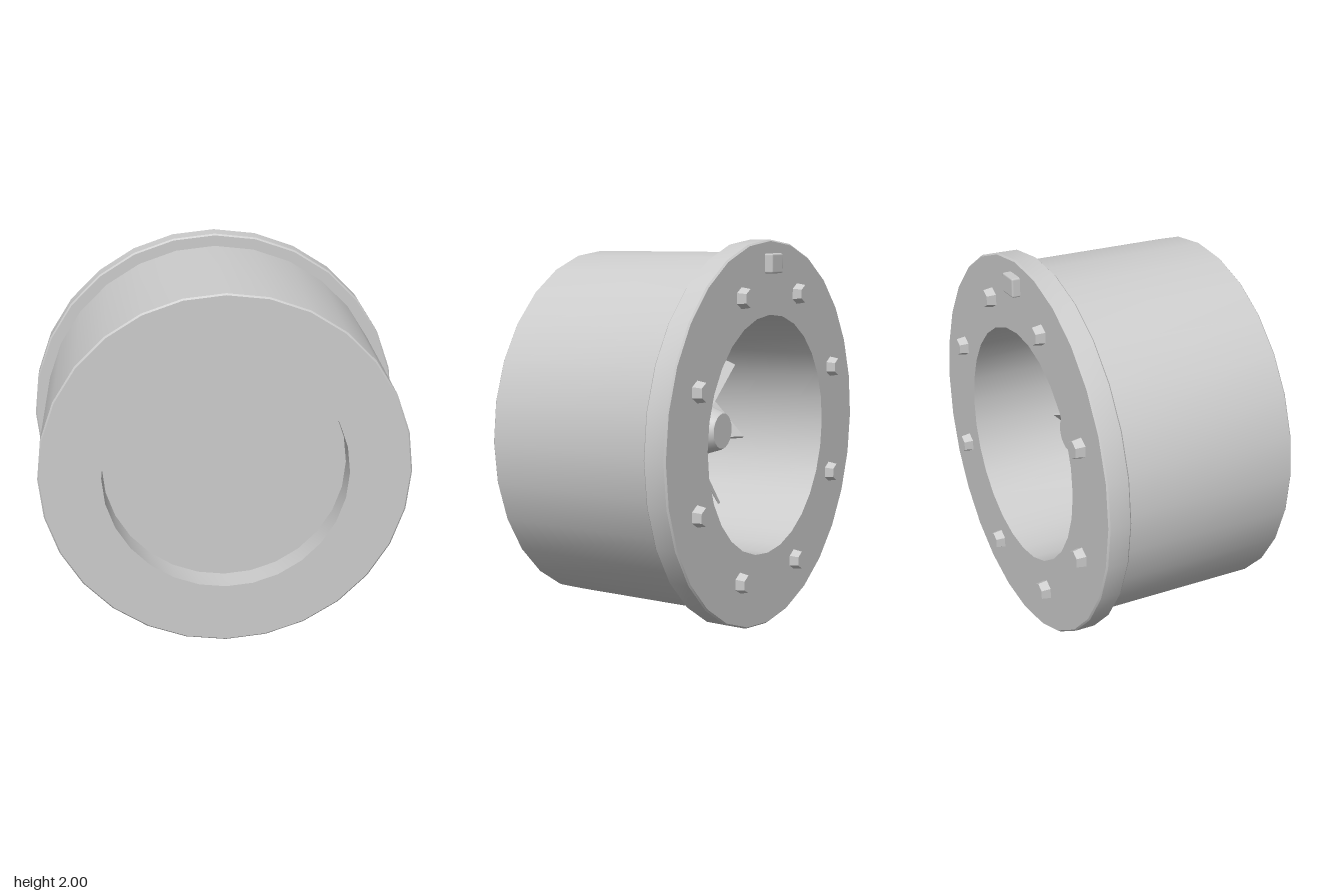
import * as THREE from 'three';
import { toCreasedNormals } from 'three/addons/utils/BufferGeometryUtils.js';
import { RoundedBoxGeometry } from 'three/addons/geometries/RoundedBoxGeometry.js';

const BLADES = 7, BOLTS = 8;

export function createModel() {
  const model = new THREE.Group();
  model.name = 'thruster';
  const axis = new THREE.Group(); // everything is built around the z axis
  axis.name = 'thrusterUnit';
  axis.position.y = 1;
  model.add(axis);

  const material = new THREE.MeshStandardMaterial({ color: 0xcccccc });
  const add = (name, geometry, parent = axis) => {
    const mesh = new THREE.Mesh(geometry, material);
    mesh.name = name;
    parent.add(mesh);
    return mesh;
  };
  // revolve [radius, z] pairs around z
  const revolve = (profile, sides) => {
    const points = profile.map(([r, z]) => new THREE.Vector2(r, z));
    return toCreasedNormals(new THREE.LatheGeometry(points, sides).rotateX(Math.PI / 2), 0.6);
  };

  // housing: rear bore, mounting flange, drum, shallow front recess
  const b = 0.008;
  add('housing', revolve([
    [0, 0.365], [0.62, 0.365], [0.62, -0.505],
    [1 - b, -0.505], [1, -0.505 + b], [1, -0.385 - b], [1 - b, -0.385],
    [0.935, -0.385], [0.935, 0.55 - b], [0.935 - b, 0.55],
    [0.62, 0.55], [0.62, 0.41], [0, 0.41],
  ], 28));

  // tapered hub inside the bore
  add('hub', revolve([[0, -0.23], [0.094, -0.23], [0.1, -0.222], [0.295, 0.366]], 20));

  // pitched blades, wider at the tip
  const length = 0.37, root = 0.11;
  const blade = new THREE.BoxGeometry(0.3, length, 0.02);
  const p = blade.attributes.position;
  for (let i = 0; i < p.count; i++) {
    if (p.getY(i) < 0) p.setX(i, p.getX(i) * 0.68);
    else p.setZ(i, p.getZ(i) * 0.7);
  }
  blade.computeVertexNormals();
  blade.rotateY(-Math.PI / 4).translate(0, root + length / 2, 0.022);
  const rotor = new THREE.Group();
  rotor.name = 'rotor';
  axis.add(rotor);
  for (let i = 0; i < BLADES; i++) {
    add('blade', blade, rotor).rotation.z = (i - 0.25) * 2 * Math.PI / BLADES;
  }

  // hexagonal flange bolts, slightly narrower at the head
  const bolt = toCreasedNormals(
    new THREE.CylinderGeometry(0.054, 0.046, 0.05, 6).rotateX(Math.PI / 2), 0.5);
  for (let i = 0; i < BOLTS; i++) {
    const a = (i + 0.5) * 2 * Math.PI / BOLTS;
    add('flangeBolt', bolt).position.set(0.775 * Math.cos(a), 0.775 * Math.sin(a), -0.529);
  }

  // small locating key at the top of the flange
  add('locatingKey', new RoundedBoxGeometry(0.12, 0.1, 0.06, 1, 0.01))
    .position.set(0, 0.88, -0.518);

  return model;
}
